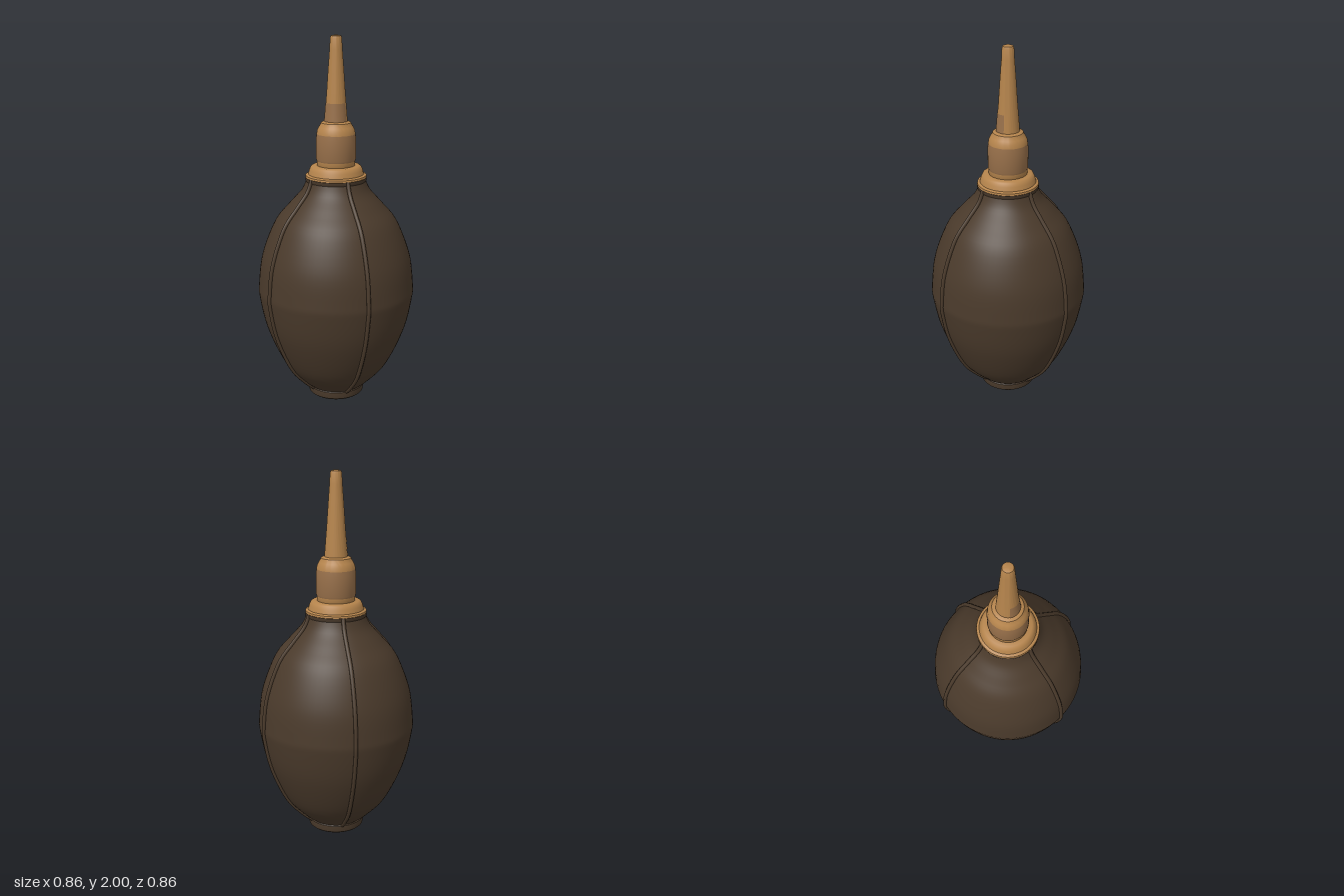
import * as THREE from 'three';
import { toCreasedNormals } from 'three/addons/utils/BufferGeometryUtils.js';

const rubber = new THREE.MeshStandardMaterial({ color: 0x4a3a2b });
rubber.name = 'darkRubber';
const tan = new THREE.MeshStandardMaterial({ color: 0xb5844c });
tan.name = 'tanPlastic';
const brown = new THREE.MeshStandardMaterial({ color: 0x98704a });
brown.name = 'brownPlastic';

// Smooth bulb outline as [radius, height]
const bulbCurve = new THREE.SplineCurve([
  [0.14, 0.04], [0.2, 0.09], [0.295, 0.2], [0.385, 0.4], [0.425, 0.58], [0.427, 0.66],
  [0.405, 0.82], [0.335, 1.0], [0.255, 1.1], [0.185, 1.18], [0.155, 1.25],
].map(([r, y]) => new THREE.Vector2(r, y)));

export function createModel() {
  const group = new THREE.Group();
  const add = (name, geometry, material) => {
    const mesh = new THREE.Mesh(geometry, material);
    mesh.name = name;
    group.add(mesh);
    return mesh;
  };
  const lathe = (name, profile, material, crease = 0.6) => add(name, toCreasedNormals(
    new THREE.LatheGeometry(profile.map(([r, y]) => new THREE.Vector2(r, y)), 64), crease), material);

  // Squeeze bulb and its flat foot
  add('bulb', new THREE.LatheGeometry(bulbCurve.getPoints(48), 72), rubber);
  lathe('foot', [[0, 0], [0.143, 0], [0.153, 0.008], [0.157, 0.03], [0.157, 0.045],
    [0.148, 0.055], [0.12, 0.058]], rubber);
  lathe('bulbRim', [[0.15, 1.21], [0.165, 1.235], [0.165, 1.25], [0.1, 1.252]], rubber);

  // Four raised mould seams running up the bulb
  const seamAngle = Math.atan2(0.34, 0.275);
  for (const sx of [1, -1]) for (const sz of [1, -1]) {
    const path = new THREE.CatmullRomCurve3(bulbCurve.getPoints(24).map((p) => new THREE.Vector3(
      sx * (p.x + 0.003) * Math.cos(seamAngle), p.y, sz * (p.x + 0.003) * Math.sin(seamAngle))));
    add('seam', new THREE.TubeGeometry(path, 48, 0.011, 8), rubber);
  }

  // Flange seated on the bulb
  lathe('flange', [[0.1, 1.245], [0.16, 1.245], [0.166, 1.252], [0.164, 1.262], [0.15, 1.268],
    [0.144, 1.29], [0.136, 1.308], [0.125, 1.315], [0.09, 1.316]], tan);

  // Collar: tan neck, brown grip, tan shoulder
  lathe('collarNeck', [[0.1, 1.31], [0.103, 1.315], [0.103, 1.345], [0.09, 1.348]], tan);
  lathe('collarGrip', [[0.09, 1.338], [0.104, 1.34], [0.107, 1.35], [0.107, 1.46], [0.104, 1.485]], brown);
  lathe('collarShoulder', [[0.104, 1.485], [0.101, 1.505], [0.092, 1.522], [0.085, 1.532],
    [0.08, 1.545], [0.066, 1.552], [0.05, 1.553]], tan);

  // Tapered nozzle with a rounded tip
  lathe('nozzle', [[0.062, 1.545], [0.058, 1.6], [0.05, 1.7], [0.042, 1.82], [0.034, 1.93],
    [0.031, 1.985], [0.027, 1.997], [0.02, 2], [0, 2]], tan);

  // Worn brown patch at the front of the nozzle base
  add('nozzlePatch', new THREE.LatheGeometry([[0.0635, 1.553], [0.0595, 1.6], [0.0558, 1.65]]
    .map(([r, y]) => new THREE.Vector2(r, y)), 24, -1.3, 2.6), brown);

  return group;
}
